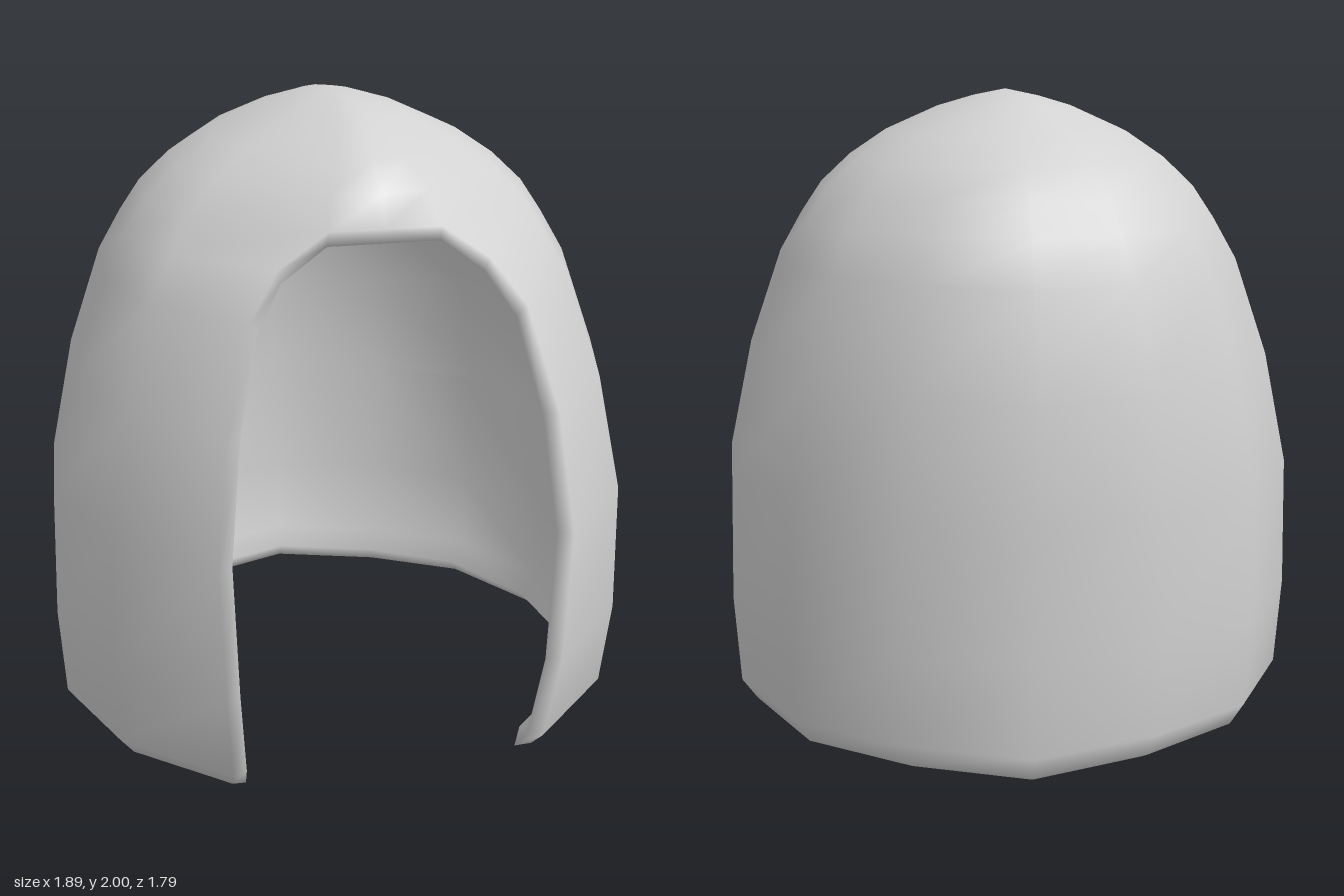
import * as THREE from 'three';
import { mergeVertices } from 'three/addons/utils/BufferGeometryUtils.js';

// Level sections: height, half width, back z, front z, half width of the opening
const LEVELS = [
  [0.02, 0.885, -0.845, 0.77, 0.48],
  [0.09, 0.935, -0.87, 0.84, 0.49],
  [0.38, 0.953, -0.89, 0.9, 0.515],
  [0.8, 0.94, -0.895, 0.9, 0.53],
  [1.16, 0.86, -0.88, 0.84, 0.49],
  [1.47, 0.75, -0.81, 0.765, 0.405],
  [1.6, 0.675, -0.735, 0.7, 0.31],
  [1.7, 0.607, -0.665, 0.7, 0.165],
  [1.79, 0.51, -0.59, 0.635, 0.14],
  [1.87, 0.39, -0.45, 0.54, 0.1],
  [1.945, 0.22, -0.27, 0.38, 0.06],
  [1.977, 0.11, -0.16, 0.26, 0.03],
  [2.0, 0, 0.05, 0.05, 0],
];
const WALL = 12;      // segments round the sides and back
const RING = 14;      // plus two segments closing the front above the opening
const ARCH = 7;       // level where the opening ends
const HEM = 3;        // level where the folded-in hem ends
const LIP = 0.045;    // roundness of the rim
const STEP = THREE.MathUtils.degToRad(24.4);

// Points of one skin of the shell: outer (scale 1) or inner (scale < 1)
function skin(scale, lipInset, drop) {
  const points = [];
  LEVELS.forEach(([y, w, back, front, open], row) => {
    const c = THREE.MathUtils.lerp(0.1, 0.05, y / 2);
    const s = row === 0 && drop ? scale - 0.015 : scale;
    const half = w * s;
    const ratio = w > 0 ? open / w : 0.27;
    const frontAxis = ((front - c) / Math.sqrt(1 - ratio * ratio)) * s;
    const backAxis = (c - back) * s;
    const inset = row <= ARCH ? lipInset : 0;
    const end = Math.PI - Math.asin(half > 0 ? (open - inset) / half : ratio);
    const level = y - drop * Math.pow(y / 2, 3) + (row < 2 && drop ? 0.03 : 0);
    for (let i = 0; i < RING; i++) {
      const side = i - WALL / 2;
      // Fixed corners on the wall; the last ones follow the opening
      const a = Math.abs(side) < WALL / 2 ? side * STEP : Math.sign(side) * end;
      const x = i > WALL ? 0 : half * Math.sin(a);
      const middle = row > ARCH ? Math.PI : end;
      const k = Math.cos(i > WALL ? middle : a) * (Math.abs(side) === 1 ? 0.95 : 1);
      points.push(new THREE.Vector3(x, level, c - k * (k > 0 ? backAxis : frontAxis)));
    }
  });
  return points;
}

function shellGeometry() {
  const outer = skin(1, 0, 0);
  const inner = skin(0.945, 0.02, 0.05);
  const points = [...outer, ...inner];
  const index = [];
  const n = outer.length;

  // Outer skin, leaving the doorway open, and the hem folded inside
  // along the bottom and round the doorway
  for (let row = 0; row < LEVELS.length - 1; row++) {
    for (let i = 0; i < RING; i++) {
      if (i >= WALL && row < ARCH) continue;
      const a = row * RING + i;
      const b = row * RING + ((i + 1) % RING);
      index.push(a, a + RING, b, b, a + RING, b + RING);
      const besideDoor = row <= ARCH && (i === 0 || i >= WALL - 1);
      if (row >= HEM && !besideDoor) continue;
      index.push(n + a, n + b, n + a + RING, n + b, n + b + RING, n + a + RING);
    }
  }

  // Loop along the bottom edge, up one side of the opening and down the other
  const loop = [];
  for (let i = 0; i <= WALL; i++) loop.push(i);
  for (let row = 1; row <= ARCH; row++) loop.push(row * RING + WALL);
  loop.push(ARCH * RING + WALL + 1);
  for (let row = ARCH; row > 0; row--) loop.push(row * RING);

  // Rounded rim between the skins
  const start = points.length;
  for (const id of loop) {
    const o = outer[id];
    const m = o.clone().lerp(inner[id], 0.5);
    const col = id % RING;
    if (id >= RING || col === 0 || col === WALL) {
      const a = (THREE.MathUtils.clamp((o.y - 1.1) / 0.6, 0, 1) * Math.PI) / 2;
      m.x = o.x - Math.sign(Math.round(o.x * 100)) * LIP * Math.cos(a);
      m.y = o.y - LIP * Math.sin(a);
    }
    if (id < RING) m.y = Math.max(0, 0.02 * (1 - Math.abs(m.z) / 0.72));
    points.push(m);
  }
  loop.forEach((a, k) => {
    const next = (k + 1) % loop.length;
    const b = loop[next];
    const ma = start + k;
    const mb = start + next;
    index.push(a, b, ma, b, mb, ma);
    index.push(ma, mb, n + a, mb, n + b, n + a);
  });

  const geometry = new THREE.BufferGeometry().setFromPoints(points);
  geometry.setIndex(index);
  const merged = mergeVertices(geometry, 1e-4);
  merged.computeVertexNormals();
  return merged;
}

export function createModel() {
  const group = new THREE.Group();
  group.name = 'domeShelter';
  const lightGrey = new THREE.MeshStandardMaterial({ color: 0xd2d2d2, side: THREE.DoubleSide });
  lightGrey.name = 'lightGrey';
  const shell = new THREE.Mesh(shellGeometry(), lightGrey);
  shell.name = 'shell';
  group.add(shell);
  return group;
}
